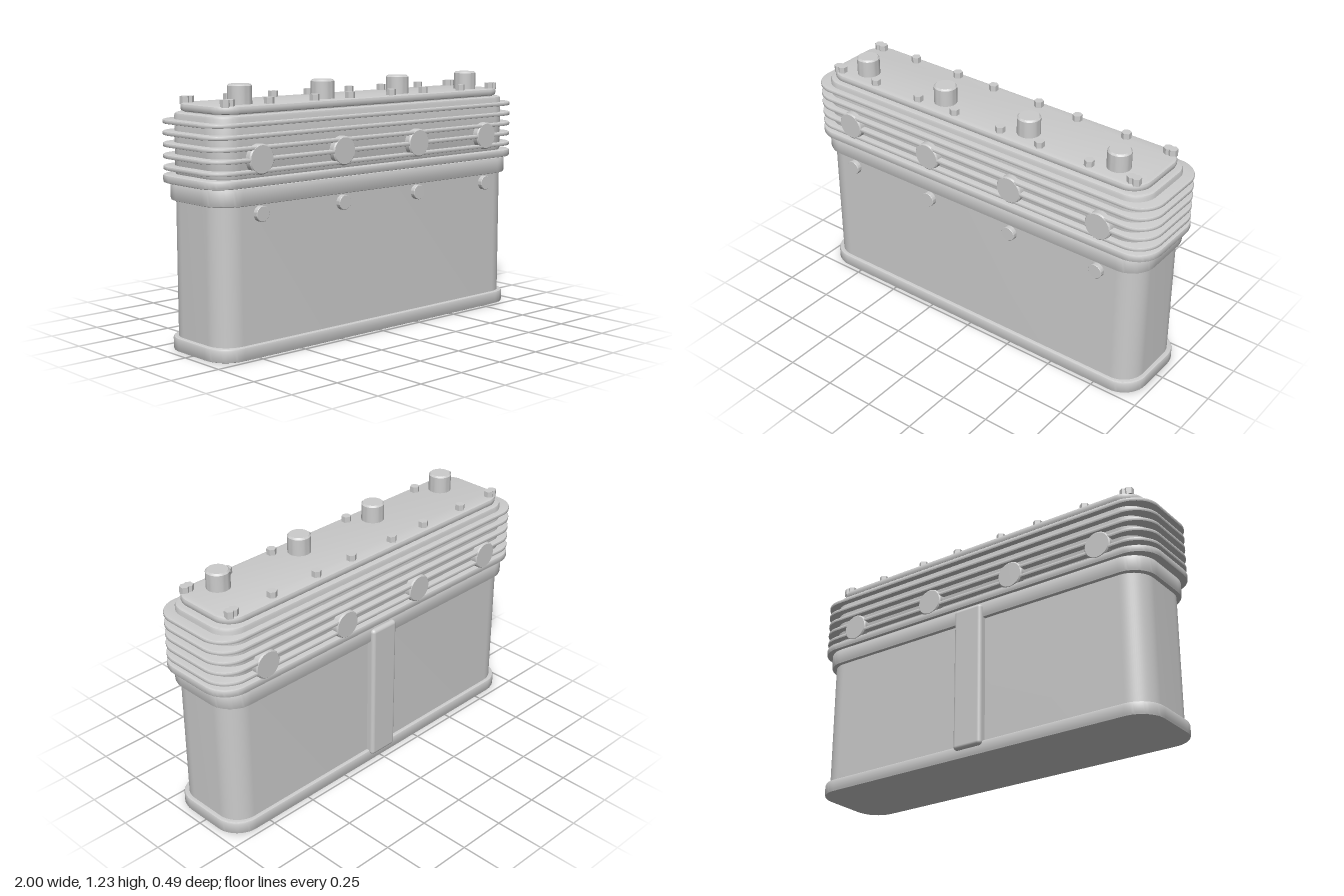
import * as THREE from 'three';
import { toCreasedNormals } from 'three/addons/utils/BufferGeometryUtils.js';
import { RoundedBoxGeometry } from 'three/addons/geometries/RoundedBoxGeometry.js';

const material = new THREE.MeshStandardMaterial({ color: 0xcccccc });
const CZ = 0.005; // centre line of the castings
const CYLINDERS = [-0.738, -0.246, 0.246, 0.738];

function add(parent, name, geometry, x = 0, y = 0, z = 0) {
  const mesh = new THREE.Mesh(geometry, material);
  mesh.name = name;
  mesh.position.set(x, y, z);
  parent.add(mesh);
  return mesh;
}

// Horizontal slab with rounded corners and bevelled rims, from y0 to y1
function slab(parent, name, halfX, halfZ, radius, y0, y1, bevel) {
  const w = halfX - bevel, d = halfZ - bevel, r = radius - bevel;
  const shape = new THREE.Shape();
  shape.absarc(w - r, d - r, r, 0, Math.PI / 2);
  shape.absarc(-w + r, d - r, r, Math.PI / 2, Math.PI);
  shape.absarc(-w + r, -d + r, r, Math.PI, Math.PI * 1.5);
  shape.absarc(w - r, -d + r, r, Math.PI * 1.5, Math.PI * 2);
  const geometry = new THREE.ExtrudeGeometry(shape, {
    depth: y1 - y0 - 2 * bevel, curveSegments: 10,
    bevelEnabled: bevel > 0, bevelSize: bevel, bevelThickness: bevel, bevelSegments: 2,
  });
  geometry.translate(0, 0, bevel);
  geometry.rotateX(-Math.PI / 2);
  return add(parent, name, toCreasedNormals(geometry, 0.6), 0, y0, CZ);
}

// Upright round boss with a chamfered top, standing on its own origin
function boss(radius, height, chamfer) {
  const profile = [[0, 0], [radius, 0], [radius, height - chamfer], [radius - chamfer, height], [0, height]];
  const geometry = new THREE.LatheGeometry(profile.map(([x, y]) => new THREE.Vector2(x, y)), 36);
  return toCreasedNormals(geometry, 0.5);
}

export function createModel() {
  const model = new THREE.Group();
  model.name = 'engineBlock';

  // Lower block with its two flanges
  slab(model, 'baseFlange', 0.968, 0.229, 0.13, 0, 0.065, 0.01);
  slab(model, 'block', 0.945, 0.209, 0.115, 0.03, 0.75, 0);
  slab(model, 'blockTopFlange', 0.968, 0.229, 0.13, 0.70, 0.782, 0.01);
  slab(model, 'deckNeck', 0.945, 0.209, 0.115, 0.77, 0.79, 0);

  // Cylinder head with cooling fins
  slab(model, 'headPlate', 1.0, 0.239, 0.13, 0.783, 0.82, 0.008);
  slab(model, 'head', 0.945, 0.208, 0.11, 0.815, 1.1, 0.014);
  for (let i = 0; i < 5; i++) {
    const y = 0.85 + i * 0.0525;
    slab(model, 'coolingFin', 0.998, 0.239, 0.13, y - 0.009, y + 0.009, 0.005);
  }

  // Top cover
  slab(model, 'coverNeck', 0.9, 0.178, 0.09, 1.09, 1.112, 0);
  slab(model, 'cover', 0.917, 0.192, 0.1, 1.104, 1.14, 0.012);

  // Bolts: four around each cylinder and one in each corner
  const boltGeometry = new THREE.CylinderGeometry(0.024, 0.024, 0.035, 6).toNonIndexed();
  boltGeometry.computeVertexNormals();
  const boltX = CYLINDERS.flatMap((x) => [x - 0.111, x + 0.111]).concat(-0.872, 0.872);
  for (const x of boltX) {
    for (const z of [-0.152, 0.152]) add(model, 'coverBolt', boltGeometry, x, 1.1515, z + CZ);
  }

  // Plugs, ports and side plugs at each cylinder
  const plug = boss(0.056, 0.1, 0.008);
  const port = boss(0.069, 0.06, 0.006);
  const sidePlug = boss(0.036, 0.024, 0.002);
  for (const x of CYLINDERS) {
    add(model, 'topPlug', plug, x, 1.13, 0.086);
    add(model, 'frontPort', port, x, 0.904, 0.185).rotation.x = Math.PI / 2;
    add(model, 'rearPort', port, x, 0.873, -0.176).rotation.x = -Math.PI / 2;
    add(model, 'sidePlug', sidePlug, x, 0.66, 0.223).rotation.x = Math.PI / 2;
  }

  // Vertical cover on the rear of the block
  add(model, 'rearCover', new RoundedBoxGeometry(0.16, 0.727, 0.07, 3, 0.018), 0, 0.4055, -0.209);

  return model;
}
